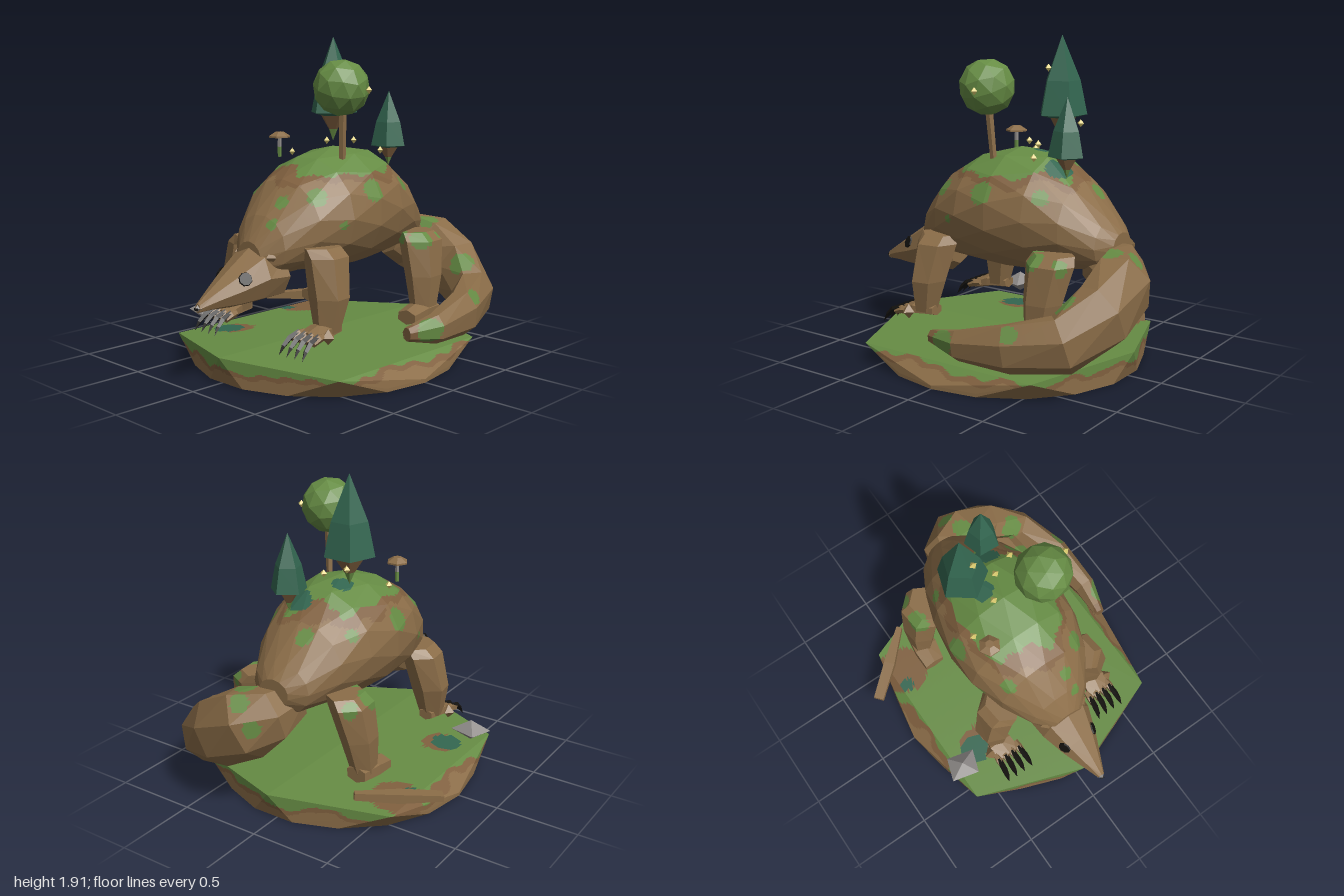
import * as THREE from 'three';
import { ConvexGeometry } from 'three/addons/geometries/ConvexGeometry.js';

const V = (x, y, z) => new THREE.Vector3(x, y, z);
const X0 = 0.03; // the animal's own centre line

function material(name, color) {
  const m = new THREE.MeshStandardMaterial({ color });
  m.name = name;
  return m;
}

// Flat facets from any geometry
function flat(geo) {
  const g = geo.index ? geo.toNonIndexed() : geo;
  g.computeVertexNormals();
  return g;
}

// Faceted skin through stations [x, y, z, ru, rv]; dir fixes the ring plane, twist staggers the rings
function loft(stations, sides, { dir = null, ref = V(0, 1, 0), twist = false, start = 0 } = {}) {
  const centres = stations.map((s) => V(s[0], s[1], s[2]));
  const last = centres.length - 1;
  const rings = stations.map((s, i) => {
    const t = dir ? dir.clone()
      : centres[Math.min(i + 1, last)].clone().sub(centres[Math.max(i - 1, 0)]).normalize();
    const u = ref.clone().cross(t).normalize();
    const v = t.clone().cross(u);
    return Array.from({ length: sides }, (_, j) => {
      const a = start + ((j + (twist && i % 2 ? 0.5 : 0)) / sides) * Math.PI * 2;
      return centres[i].clone().addScaledVector(u, Math.cos(a) * s[3])
        .addScaledVector(v, Math.sin(a) * (s[4] ?? s[3]));
    });
  });
  const pts = [];
  for (let j = 0; j < sides; j++) {
    const k = (j + 1) % sides;
    pts.push(centres[0], rings[0][k], rings[0][j], centres[last], rings[last][j], rings[last][k]);
    for (let i = 0; i < last; i++) {
      const [a, b] = [rings[i], rings[i + 1]];
      if (twist && i % 2) pts.push(a[j], a[k], b[k], a[j], b[k], b[j]);
      else pts.push(a[j], a[k], b[j], a[k], b[k], b[j]);
    }
  }
  return flat(new THREE.BufferGeometry().setFromPoints(pts));
}

// Split facets into small coplanar pieces and sort them by the colour rule(point, normal)
function paint(geo, rule, count) {
  const p = geo.attributes.position;
  const bins = Array.from({ length: count }, () => []);
  for (let f = 0; f < p.count; f += 3) {
    const [a, b, c] = [0, 1, 2].map((k) => new THREE.Vector3().fromBufferAttribute(p, f + k));
    const nrm = b.clone().sub(a).cross(c.clone().sub(a)).normalize();
    const longest = Math.max(a.distanceTo(b), b.distanceTo(c), c.distanceTo(a));
    const n = Math.min(36, Math.ceil(longest / 0.028));
    const at = (i, j) => a.clone().multiplyScalar((n - i - j) / n)
      .addScaledVector(b, i / n).addScaledVector(c, j / n);
    const pieces = [];
    const add = (...t) => {
      const mid = t[0].clone().add(t[1]).add(t[2]).divideScalar(3);
      pieces.push([rule(mid, nrm), t]);
    };
    for (let i = 0; i < n; i++) for (let j = 0; j < n - i; j++) {
      add(at(i, j), at(i + 1, j), at(i, j + 1));
      if (i + j < n - 1) add(at(i + 1, j), at(i + 1, j + 1), at(i, j + 1));
    }
    if (pieces.every((q) => q[0] === pieces[0][0])) bins[pieces[0][0]].push(a, b, c);
    else pieces.forEach(([m, t]) => bins[m].push(...t));
  }
  const out = flat(new THREE.BufferGeometry().setFromPoints(bins.flat()));
  let offset = 0;
  bins.forEach((bin, i) => { out.addGroup(offset, bin.length, i); offset += bin.length; });
  return out;
}

const wiggle = (p) => 0.5 * Math.sin(p.x * 17 + p.z * 9) + 0.3 * Math.sin(p.z * 29 - p.x * 8 + 1)
  + 0.2 * Math.sin(p.x * 41 + p.y * 33);
const inSpot = (p, spots) => spots.some(([x, y, z, r]) => p.distanceTo(V(x, y, z)) < r * (1 + 0.15 * wiggle(p)));

export function createModel() {
  const root = new THREE.Group();
  const hide = material('brown hide', 0x8b6d48);
  const grass = material('grass green', 0x668c44);
  const soil = material('reddish soil', 0x80603f);
  const pine = material('pine green', 0x336650);
  const stone = material('grey stone', 0x8f8b89);
  const black = material('claw black', 0x14120f);
  const yellow = material('pale yellow', 0xd9c96e);
  const palette = [hide, grass, soil, pine];

  const add = (name, geo, mat, parent = root) => {
    const m = new THREE.Mesh(geo, mat);
    m.name = name;
    parent.add(m);
    return m;
  };
  const painted = (name, geo, rule) => add(name, paint(geo, rule, palette.length), palette);

  // Ground slab: ridged hexagon above a rounded foot
  const slab = [V(X0, 0.16, 0.84), V(X0, 0.16, -0.84)];
  for (const z of [-0.59, 0.59]) for (const s of [-1, 1]) slab.push(V(X0 + s * 0.67, 0.12, z));
  for (let i = 0; i < 18; i++) {
    const a = (i / 18) * Math.PI * 2;
    slab.push(V(X0 + 0.78 * Math.cos(a), 0.0, 0.8 * Math.sin(a)), V(X0 + 0.78 * Math.cos(a), 0.02, 0.8 * Math.sin(a)));
  }
  painted('ground', flat(new ConvexGeometry(slab)), (p, n) => {
    if (n.y < -0.5) return 0;
    if (inSpot(p, [[-0.48, 0.13, 0.33, 0.09], [-0.6, 0.12, -0.3, 0.045]])) return 3;
    if (inSpot(p, [[-0.45, 0.13, 0.3, 0.11], [-0.57, 0.12, -0.4, 0.16]])) return 2;
    if (n.y > 0.85) return 1;
    const edge = p.y - 0.08 - 0.035 * wiggle(p);
    return edge > 0.015 ? 1 : edge > -0.012 ? 2 : 0;
  });

  // Body: egg shape with a mossy back
  const body = loft([
    [X0, 0.76, -0.75, 0.1, 0.08], [X0, 0.765, -0.68, 0.19, 0.15], [X0, 0.85, -0.5, 0.29, 0.255],
    [X0, 0.9, -0.3, 0.355, 0.34], [X0, 0.91, -0.07, 0.395, 0.358], [X0, 0.89, 0.15, 0.38, 0.33],
    [X0, 0.84, 0.35, 0.31, 0.265], [X0, 0.74, 0.52, 0.2, 0.18], [X0, 0.68, 0.61, 0.1, 0.1],
  ], 14, { dir: V(0, 0, 1), twist: true, start: Math.PI / 2 });
  const bodySpots = [[0.12, 1.0, 0.45, 0.045], [0.12, 0.86, 0.5, 0.045], [-0.05, 1.06, -0.57, 0.06]];
  for (const s of [-1, 1]) bodySpots.push([X0 + s * 0.26, 1.04, 0.33, 0.06],
    [X0 + s * 0.36, 1.04, -0.03, 0.07], [X0 + s * 0.36, 0.86, 0.21, 0.025], [X0 + s * 0.27, 1.03, -0.38, 0.045]);
  painted('body', body, (p) => {
    if (inSpot(p, [[0.12, 1.2, -0.4, 0.09], [-0.04, 1.25, -0.18, 0.07]])) return 3;
    if (inSpot(p, [[-0.02, 1.17, -0.44, 0.09]])) return 2;
    if (inSpot(p, bodySpots)) return 1;
    const edge = p.y - 1.14 - 0.045 * wiggle(p);
    return edge > 0 ? 1 : edge > -0.045 ? 2 : 0;
  });

  // Head with ears, eyes and nose
  add('head', loft([
    [X0, 0.59, 0.4, 0.1, 0.1], [X0, 0.585, 0.46, 0.18, 0.145], [X0, 0.59, 0.6, 0.17, 0.16],
    [X0, 0.54, 0.75, 0.12, 0.11], [X0, 0.5, 0.88, 0.065, 0.06], [X0, 0.465, 0.98, 0.022, 0.025],
  ], 8, { dir: V(0, 0, 1) }), hide);
  const nose = add('nose', new THREE.OctahedronGeometry(0.028), stone);
  nose.position.set(X0, 0.465, 0.972);
  const nostrils = add('nostrils', new THREE.BoxGeometry(0.022, 0.012, 0.01), black);
  nostrils.position.set(X0, 0.462, 0.993);
  for (const s of [-1, 1]) {
    const normal = V(s * 0.835, 0.372, 0.4).normalize();
    const eye = add('eye', flat(new THREE.CylinderGeometry(0.036, 0.04, 0.009, 8)), black);
    eye.position.set(X0 + s * 0.104, 0.6, 0.73).addScaledVector(normal, 0.006);
    eye.quaternion.setFromUnitVectors(V(0, 1, 0), normal);
    const ear = add('ear', new THREE.OctahedronGeometry(0.04), hide);
    ear.position.set(X0 + s * 0.13, 0.7, 0.56);
  }

  // Legs, paws and claws
  const down = { dir: V(0, -1, 0), ref: V(0, 0, 1), start: 0.4 };
  const along = { dir: V(0, 0, 1), start: 0.5 };
  for (const s of [-1, 1]) {
    const x = (d) => X0 + s * d;
    add('frontLeg', loft([[x(0.28), 0.75, 0.32, 0.1, 0.13], [x(0.32), 0.7, 0.32, 0.12, 0.135],
      [x(0.365), 0.48, 0.345, 0.12, 0.11], [x(0.37), 0.29, 0.365, 0.075, 0.07]], 6, down), hide);
    add('frontPaw', loft([[x(0.37), 0.3, 0.29, 0.05, 0.035], [x(0.37), 0.3, 0.42, 0.085, 0.045],
      [x(0.36), 0.27, 0.51, 0.085, 0.035]], 6, along), hide);
    const thumb = add('thumb', new THREE.OctahedronGeometry(0.045), hide);
    thumb.position.set(x(0.45), 0.285, 0.44);
    for (let i = 0; i < 4; i++) {
      const k = i - 1.5, cx = 0.36 + k * 0.05;
      add('toe', loft([[x(cx), 0.29, 0.46, 0.02], [x(cx), 0.285, 0.5, 0.026],
        [x(cx + k * 0.003), 0.265, 0.55, 0.02]], 5), hide);
      add('claw', loft([[x(cx), 0.3, 0.5, 0.014], [x(cx + k * 0.004), 0.272, 0.57, 0.019],
        [x(cx + k * 0.007), 0.235, 0.61, 0.014], [x(cx + k * 0.01), 0.19, 0.64, 0.001]], 4), black);
    }
    painted('hindLeg', loft([[x(0.3), 0.74, -0.49, 0.1, 0.13], [x(0.34), 0.69, -0.49, 0.12, 0.15],
      [x(0.38), 0.48, -0.47, 0.105, 0.12], [x(0.4), 0.27, -0.45, 0.075, 0.08]], 6, down),
    (p) => (inSpot(p, [[x(0.4), 0.7, -0.42, 0.07], [x(0.38), 0.68, -0.57, 0.05], [x(0.27), 0.72, -0.36, 0.06]]) ? 1 : 0));
    add('hindFoot', loft([[x(0.4), 0.27, -0.53, 0.07, 0.05], [x(0.4), 0.265, -0.4, 0.09, 0.06],
      [x(0.41), 0.25, -0.28, 0.075, 0.045]], 6, along), hide);
  }

  // Tail sweeping round to one side
  painted('tail', loft([
    [X0, 0.66, -0.58, 0.12], [0.06, 0.62, -0.74, 0.16, 0.18], [0.17, 0.57, -0.82, 0.18, 0.22],
    [0.38, 0.46, -0.83, 0.15, 0.21], [0.6, 0.34, -0.72, 0.13, 0.17], [0.72, 0.3, -0.45, 0.1, 0.14],
    [0.755, 0.27, -0.15, 0.07, 0.09], [0.72, 0.27, 0.06, 0.035, 0.04],
  ], 7, { start: 0.3 }), (p) => {
    const spots = [[0.2, 0.72, -0.78, 0.07], [0.53, 0.5, -0.72, 0.08], [0.79, 0.28, -0.07, 0.08],
      [0.14, 0.74, -0.92, 0.06], [0.78, 0.4, -0.5, 0.05], [0.05, 0.6, -0.93, 0.06]];
    return inSpot(p, spots) ? 1 : inSpot(p, [[0.75, 0.28, 0.05, 0.06]]) ? 2 : 0;
  });

  // Conifers standing just above the back
  const upright = { dir: V(0, 1, 0), ref: V(0, 0, 1) };
  const conifer = (x, y, z, size, turn) => {
    const tree = new THREE.Group();
    tree.name = 'conifer';
    const cone = (rows) => loft(rows.map(([h, r]) => [0, h, 0, r]), 5, upright);
    add('foliage', cone([[0.15, 0.07], [0.17, 0.15], [0.37, 0.108], [0.63, 0.001]]), pine, tree);
    add('trunk', cone([[0.07, 0.03], [0.155, 0.085]]), soil, tree);
    add('root', cone([[0, 0.001], [0.085, 0.036]]), grass, tree);
    tree.position.set(x, y, z);
    tree.scale.setScalar(size);
    tree.rotation.y = turn;
    root.add(tree);
  };
  conifer(-0.13, 1.28, -0.24, 1, 0.3);
  conifer(0.14, 1.13, -0.45, 0.72, 0.9);

  // Round tree
  add('roundTreeTrunk', loft([[0.19, 1.2, 0.02, 0.02], [0.21, 1.52, 0.04, 0.024]], 5, upright), hide);
  const crown = add('roundTreeCrown', flat(new THREE.IcosahedronGeometry(0.165, 1)), grass);
  crown.position.set(0.21, 1.62, 0.05);
  crown.rotation.set(0.3, 0.4, 0.2);

  // Mushroom
  add('mushroomCap', loft([[-0.21, 1.315, 0.14, 0.065], [-0.21, 1.325, 0.14, 0.065],
    [-0.21, 1.35, 0.14, 0.025]], 6, upright), hide);
  add('mushroomStem', loft([[-0.21, 1.26, 0.14, 0.013], [-0.21, 1.32, 0.14, 0.011]], 5, upright), stone);
  add('mushroomFoot', loft([[-0.21, 1.2, 0.14, 0.012], [-0.21, 1.26, 0.14, 0.013]], 5, upright), grass);

  // Floating fireflies
  for (const [x, y, z] of [[-0.1, 1.72, -0.165], [0.385, 1.61, 0.01], [-0.03, 1.295, -0.08], [0.07, 1.295, -0.21],
    [-0.235, 1.22, 0.01], [0.22, 1.24, -0.28], [-0.18, 1.4, -0.34]]) {
    add('firefly', new THREE.OctahedronGeometry(0.023), yellow).position.set(x, y, z);
  }

  // Rock and fallen plank
  const rock = add('rock', flat(new THREE.OctahedronGeometry(1).rotateY(0.5)), stone);
  rock.scale.set(0.125, 0.065, 0.105);
  rock.position.set(-0.61, 0.23, 0.39);
  add('plank', loft([[-0.81, 0.17, -0.31, 0.045, 0.025], [-0.62, 0.185, -0.47, 0.05, 0.04],
    [-0.43, 0.21, -0.64, 0.025, 0.03]], 4, { start: Math.PI / 4 }), hide);

  return root;
}
